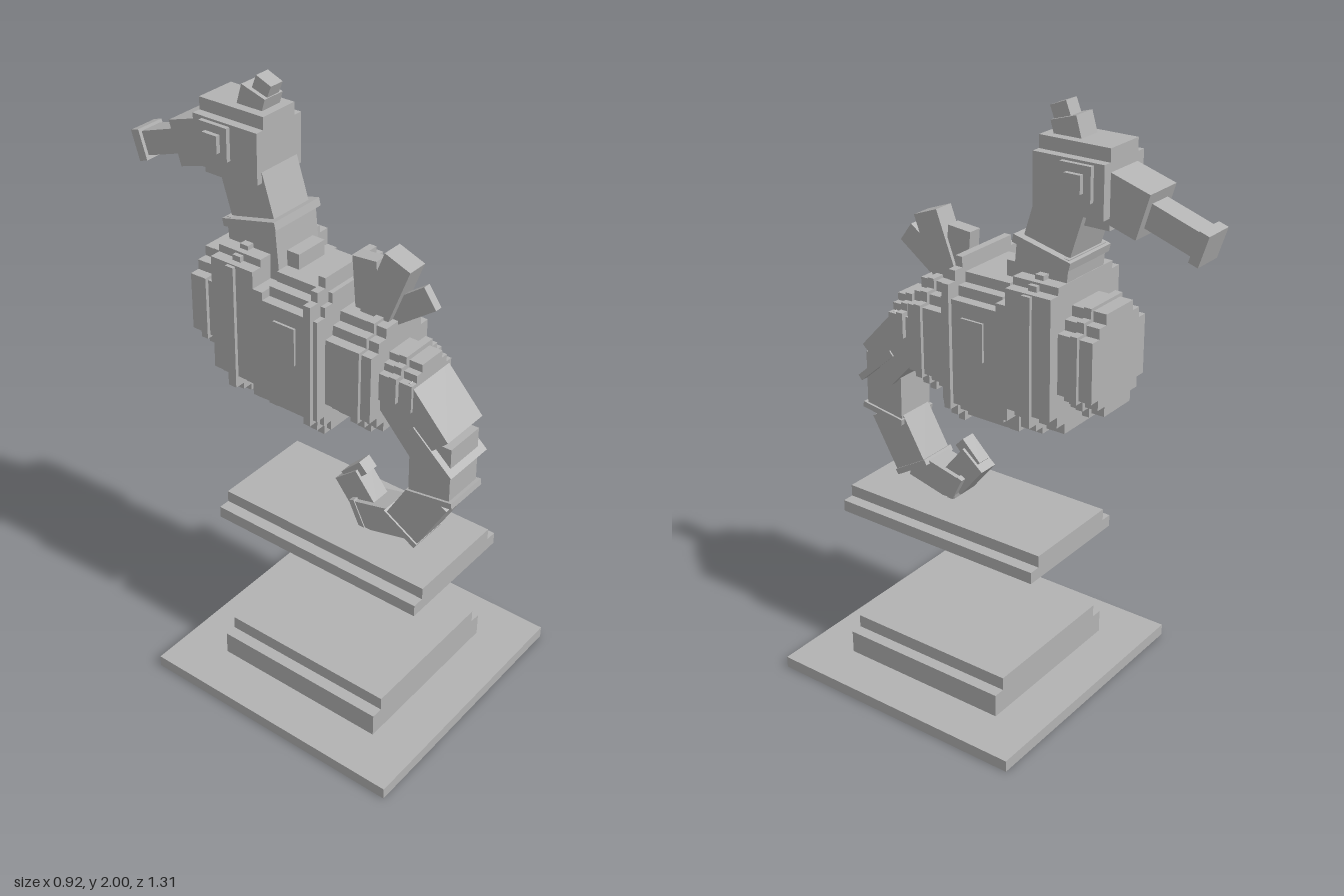
import * as THREE from 'three';

export function createModel() {
  const root = new THREE.Group();
  root.name = 'seahorseStatue';
  const stone = new THREE.MeshStandardMaterial({ color: 0xb2b2b2 });
  stone.name = 'stone grey';

  const add = (name, w, h, d, x, y, z, parent = root) => {
    const m = new THREE.Mesh(new THREE.BoxGeometry(w, h, d), stone);
    m.name = name;
    m.position.set(x, y, z);
    parent.add(m);
    return m;
  };
  // Upright box given by half width and its y and z limits
  const slab = (name, hw, y0, y1, z0, z1, parent) =>
    add(name, hw * 2, y1 - y0, z1 - z0, 0, (y0 + y1) / 2, (z0 + z1) / 2, parent);
  // Tilted box running from a to b, both [z, y]; t is its depth across the run
  const limb = (name, hw, t, a, b) => {
    const dz = b[0] - a[0], dy = b[1] - a[1];
    const m = add(name, hw * 2, Math.hypot(dz, dy), t, 0, (a[1] + b[1]) / 2, (a[0] + b[0]) / 2);
    m.rotation.x = Math.atan2(dz, dy);
    return m;
  };
  // Body section with stepped corners: three crossing slabs
  const stepped = (name, hw, y0, y1, z0, z1, sx = 0.035, sy = 0.033) => {
    const g = new THREE.Group();
    g.name = name;
    for (let i = 0; i < 3; i++)
      slab(name + 'Tier', hw - i * sx, y0 + (2 - i) * sy, y1 - (2 - i) * sy, z0, z1, g);
    root.add(g);
  };

  // Pedestal and floating plinth
  slab('basePlate', 0.46, 0, 0.04, -0.27, 0.66);
  slab('pedestalLower', 0.3, 0.04, 0.12, -0.11, 0.5);
  slab('pedestalUpper', 0.26, 0.12, 0.165, -0.11, 0.5);
  slab('plinthLower', 0.22, 0.53, 0.57, -0.19, 0.58);
  slab('plinthUpper', 0.18, 0.57, 0.61, -0.19, 0.58);

  // Body sections and their raised bands
  stepped('tailRoot', 0.1, 1.1, 1.29, 0.33, 0.455, 0.025, 0.025);
  stepped('tailRootBand', 0.115, 1.12, 1.305, 0.385, 0.41, 0.025, 0.025);
  stepped('rump', 0.14, 1.02, 1.375, 0.17, 0.34);
  stepped('rumpBand', 0.152, 1.01, 1.385, 0.28, 0.305);
  stepped('belly', 0.178, 0.975, 1.45, -0.03, 0.175);
  stepped('bellyBand', 0.192, 0.96, 1.5, 0.135, 0.16);
  slab('bellyBridge', 0.178, 1.04, 1.41, -0.07, -0.03);
  slab('bellyKeel', 0.11, 0.975, 1.04, -0.065, -0.03);
  slab('chest', 0.178, 1.08, 1.465, -0.225, -0.065);
  slab('chestTop', 0.14, 1.46, 1.49, -0.225, -0.065);
  slab('chestLower', 0.14, 1.045, 1.08, -0.225, -0.065);
  slab('chestKeel', 0.1, 1.01, 1.045, -0.225, -0.065);
  stepped('chestBand', 0.19, 1.0, 1.505, -0.16, -0.13, 0.035, 0.022);
  stepped('chestFront', 0.14, 1.09, 1.415, -0.345, -0.22);
  stepped('chestFrontBand', 0.152, 1.08, 1.425, -0.3, -0.275);
  slab('neckBackBlock', 0.06, 1.4, 1.5, -0.03, 0.015);
  for (const s of [-1, 1]) add('sidePanel', 0.016, 0.125, 0.08, s * 0.178, 1.272, 0.055);

  // Neck
  limb('lowerNeck', 0.095, 0.185, [-0.122, 1.4], [-0.138, 1.57]);
  limb('neckRing', 0.105, 0.205, [-0.135, 1.555], [-0.141, 1.58]);
  limb('upperNeck', 0.08, 0.165, [-0.136, 1.56], [-0.2, 1.76]);

  // Head, eyes and crest
  slab('head', 0.1, 1.7, 1.86, -0.345, -0.105);
  slab('headTop', 0.07, 1.86, 1.9, -0.345, -0.105);
  slab('jaw', 0.06, 1.66, 1.71, -0.34, -0.24);
  for (const s of [-1, 1]) {
    add('eyeSocket', 0.03, 0.105, 0.105, s * 0.1, 1.8, -0.258);
    add('eye', 0.03, 0.055, 0.055, s * 0.115, 1.8, -0.258);
  }
  limb('crestBase', 0.04, 0.09, [-0.19, 1.87], [-0.166, 1.95]);
  limb('crestTip', 0.026, 0.058, [-0.16, 1.93], [-0.138, 1.985]);

  // Snout
  limb('snoutBase', 0.068, 0.145, [-0.3, 1.77], [-0.452, 1.723]);
  limb('snout', 0.04, 0.078, [-0.44, 1.725], [-0.62, 1.665]);
  limb('snoutTip', 0.052, 0.1, [-0.605, 1.668], [-0.636, 1.658]);

  // Back fins
  limb('rearFin', 0.013, 0.075, [0.445, 1.485], [0.3, 1.38]);
  limb('middleFin', 0.036, 0.095, [0.346, 1.575], [0.265, 1.36]);
  limb('frontFin', 0.024, 0.085, [0.223, 1.543], [0.24, 1.35]);

  // Curled tail
  limb('tailSegment', 0.09, 0.165, [0.38, 1.187], [0.52, 1.037]);
  limb('tailSegment', 0.072, 0.145, [0.51, 1.06], [0.513, 0.85]);
  limb('tailSegment', 0.064, 0.135, [0.515, 0.86], [0.412, 0.68]);
  limb('tailSegment', 0.052, 0.095, [0.42, 0.69], [0.235, 0.645]);
  limb('tailSegment', 0.036, 0.1, [0.268, 0.655], [0.178, 0.765]);
  limb('tailTip', 0.026, 0.043, [0.17, 0.745], [0.238, 0.812]);
  limb('tailRing', 0.095, 0.185, [0.532, 1.04], [0.518, 1.024]);
  limb('tailRing', 0.08, 0.165, [0.516, 0.866], [0.519, 0.846]);
  limb('tailRing', 0.07, 0.145, [0.415, 0.692], [0.405, 0.675]);
  limb('tailRing', 0.056, 0.1, [0.248, 0.654], [0.23, 0.645]);

  return root;
}
